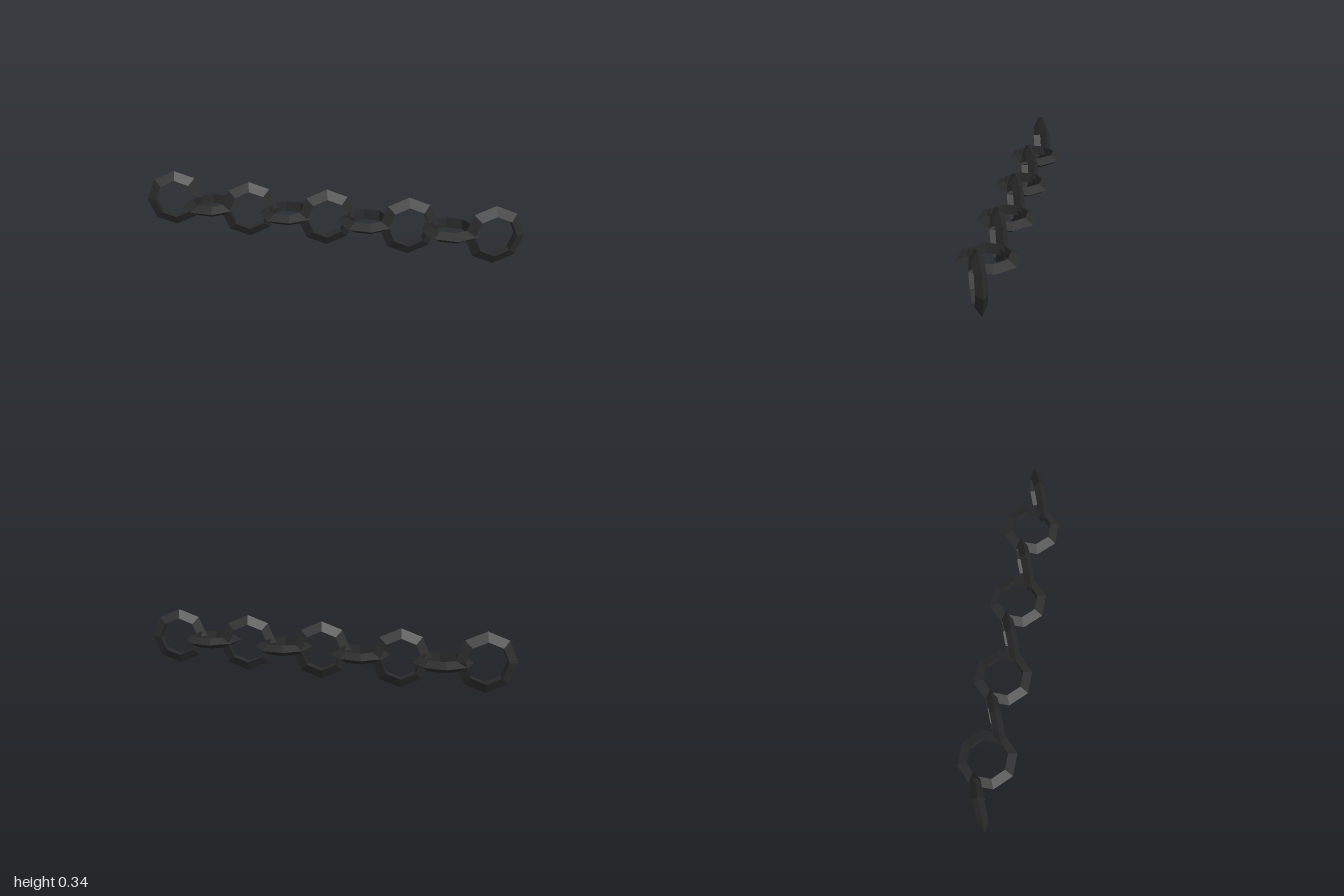
import * as THREE from 'three';

export function createModel() {
  const model = new THREE.Group();
  model.name = 'chain';

  const iron = new THREE.MeshStandardMaterial({ color: 0x2b2b2b, flatShading: true });
  iron.name = 'dark iron';

  // Eight-sided ring with a triangular section, its ridge pointing outward
  const ring = new THREE.TorusGeometry(0.1265, 0.0335, 3, 8);

  // Nine links along a diagonal, alternately upright and lying flat
  for (let i = -4; i <= 4; i++) {
    const upright = i % 2 === 0;
    const link = new THREE.Mesh(ring, iron);
    link.name = upright ? 'uprightLink' : 'flatLink';
    // The first end link sits slightly higher than the rest
    link.position.set(i * 0.21, i === -4 ? 0.182 : 0.16, i * 0.084);
    if (!upright) link.rotation.x = Math.PI / 2;
    model.add(link);
  }

  return model;
}
